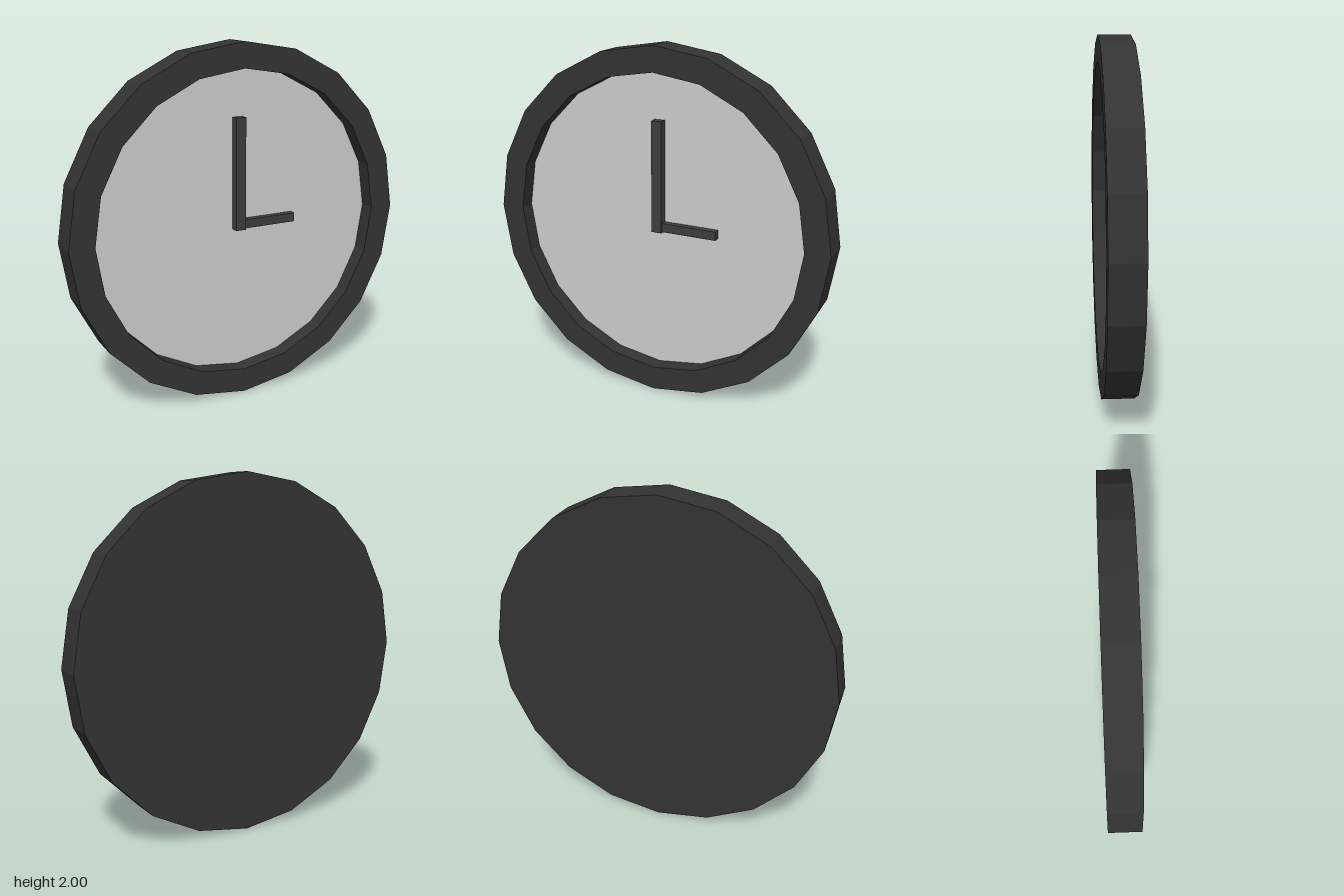
import * as THREE from 'three';

const SIDES = 20, RADIUS = 1, INNER = 0.86, HALF_DEPTH = 0.09;

const flat = (color) => new THREE.MeshStandardMaterial({ color, flatShading: true });

export function createModel() {
  const clock = new THREE.Group();
  clock.name = 'wallClock';

  const add = (name, geometry, material) => {
    const mesh = new THREE.Mesh(geometry, material);
    mesh.name = name;
    clock.add(mesh);
    return mesh;
  };

  // Casing: closed back, outer wall, front rim and inner wall down to the dial
  const profile = [
    [0, -HALF_DEPTH], [RADIUS, -HALF_DEPTH], [RADIUS, HALF_DEPTH],
    [INNER, HALF_DEPTH], [INNER, 0],
  ].map(([r, h]) => new THREE.Vector2(r, h));
  const casing = new THREE.LatheGeometry(profile, SIDES).rotateX(Math.PI / 2);
  add('casing', casing, flat(0x333333)).position.y = RADIUS;

  // Recessed dial
  add('dial', new THREE.CircleGeometry(INNER, SIDES), flat(0xcccccc)).position.y = RADIUS;

  // Hands: bars resting on the dial, given by their edges and depth
  const handMaterial = flat(0x3d3d3d);
  const addHand = (name, x0, x1, y0, y1, depth) => {
    const bar = new THREE.BoxGeometry(x1 - x0, y1 - y0, depth);
    add(name, bar, handMaterial).position.set((x0 + x1) / 2, (y0 + y1) / 2, depth / 2);
  };
  addHand('minuteHand', -0.03, 0.03, 0.965, 1.595, 0.047);
  addHand('hourHand', -0.02, 0.35, 0.97, 1.02, 0.038);

  return clock;
}
